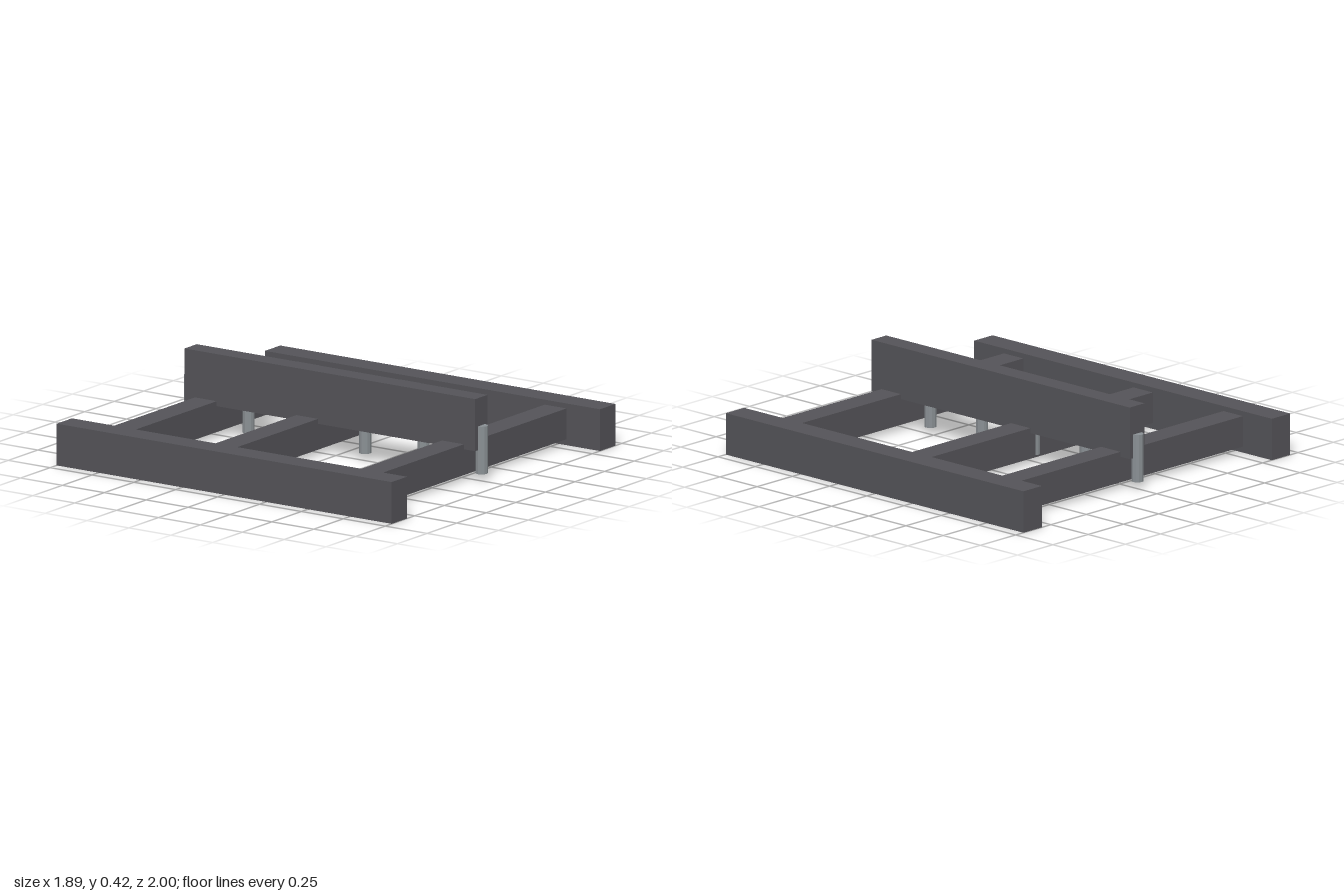
import * as THREE from 'three';

export function createModel() {
  const model = new THREE.Group();
  model.name = 'beamFrame';
  const darkBeam = new THREE.MeshStandardMaterial({ color: 0x545358 });
  darkBeam.name = 'darkBeam';
  const steel = new THREE.MeshStandardMaterial({ color: 0x8a9094 });
  steel.name = 'steel';

  function add(name, geometry, material, x, y, z) {
    const mesh = new THREE.Mesh(geometry, material);
    mesh.name = name;
    mesh.position.set(x, y, z);
    model.add(mesh);
  }

  // Long side beams resting on the ground
  for (const side of [-1, 1]) {
    add(side > 0 ? 'leftBeam' : 'rightBeam',
      new THREE.BoxGeometry(0.13, 0.21, 2), darkBeam, side * 0.88, 0.105, 0);
  }

  // Cross bars joining the side beams
  [-0.74, -0.135, 0.735].forEach((z, i) => {
    add(`crossBar${i + 1}`, new THREE.BoxGeometry(1.63, 0.155, 0.13), darkBeam, 0, 0.1075, z);
  });

  // Raised centre beam
  add('centreBeam', new THREE.BoxGeometry(0.104, 0.262, 1.735), darkBeam, 0, 0.291, 0);

  // Evenly spaced pins hanging below the centre beam
  const pin = new THREE.CylinderGeometry(0.03, 0.03, 0.24, 12).toNonIndexed();
  pin.computeVertexNormals();
  for (let i = 0; i < 6; i++) {
    add(`pin${i + 1}`, pin, steel, 0, 0.16, -0.87 + i * 0.348);
  }
  return model;
}
